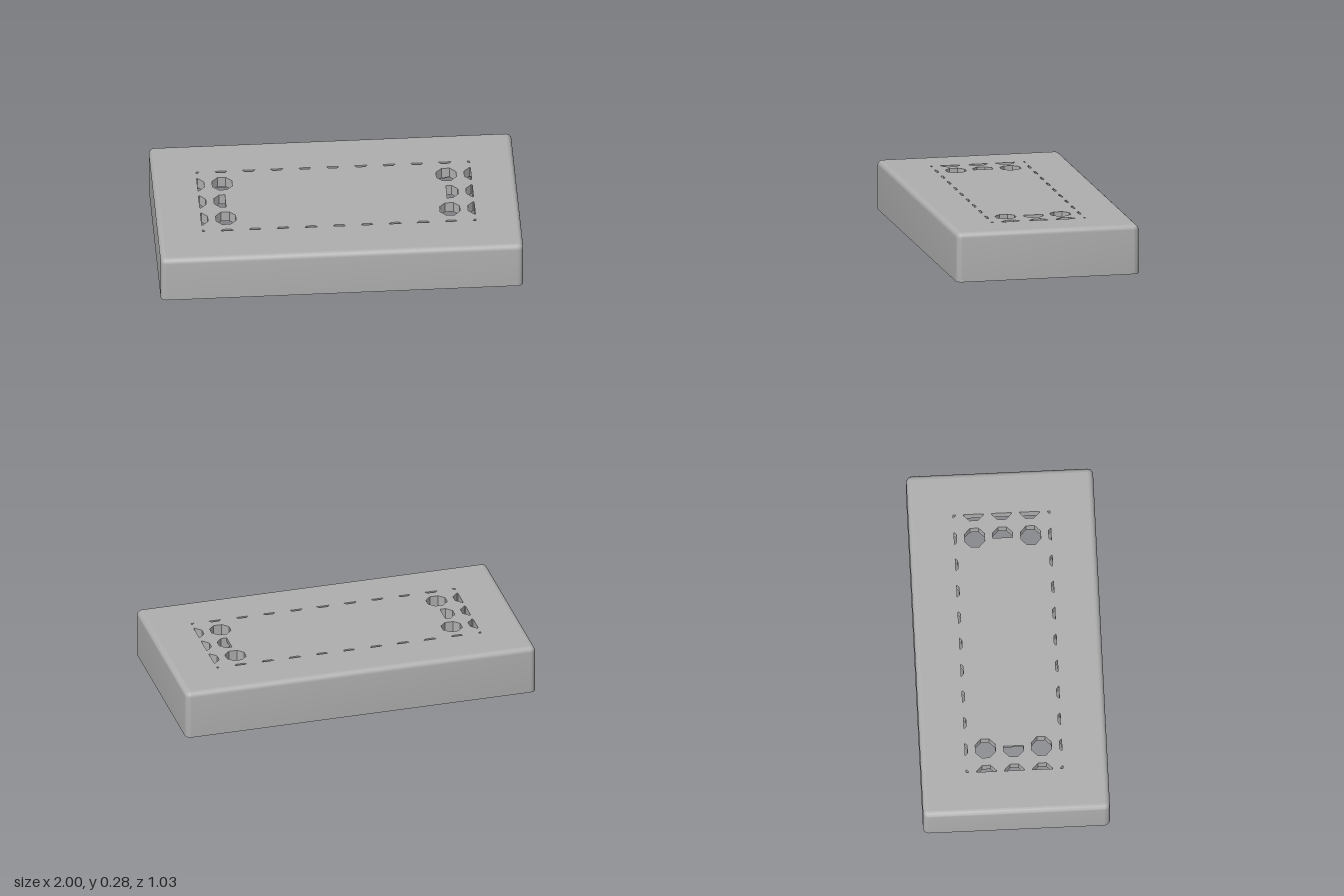
import * as THREE from 'three';
import { toCreasedNormals } from 'three/addons/utils/BufferGeometryUtils.js';

const W = 1, D = 0.515, H = 0.275;       // half width, half depth, height
const WALL = 0.042, ROUND = 0.028, CORNER = 0.032;
const CEILING = 0.212, PIT = 0.252;      // cavity ceiling, top of the blind pits
const PITCH = 0.1545, APOTHEM = 0.055;   // vent grid
const VENT_X = 0.755, VENT_Z = 0.267, COVER_X = 0.61;

// Rounded rectangle, moved inwards by an inset
function outline(inset) {
  const r = Math.max(CORNER - inset, inset > ROUND ? 0.02 : 0.002), pts = [], n = 6;
  [[1, 1], [-1, 1], [-1, -1], [1, -1]].forEach(([sx, sz], q) => {
    for (let k = 0; k <= n; k++) {
      const a = (q + k / n) * Math.PI / 2;
      pts.push(new THREE.Vector2(
        sx * (W - inset - r) + r * Math.cos(a),
        sz * (D - inset - r) + r * Math.sin(a)));
    }
  });
  return pts;
}

// Sweep a wall profile of [inset, y] around the outline
function loft(profile) {
  const rings = profile.map(([inset]) => outline(inset));
  const n = rings[0].length, pos = [], index = [];
  rings.forEach((ring, j) => ring.forEach(p => pos.push(p.x, profile[j][1], p.y)));
  for (let j = 0; j < rings.length - 1; j++) {
    for (let i = 0; i < n; i++) {
      const a = j * n + i, b = j * n + (i + 1) % n;
      index.push(a, a + n, b, b, a + n, b + n);
    }
  }
  const g = new THREE.BufferGeometry();
  g.setAttribute('position', new THREE.Float32BufferAttribute(pos, 3));
  g.setIndex(index);
  return toCreasedNormals(g, 0.6);
}

// Keep the side of a polygon where sign * p[axis] <= limit
function clip(poly, axis, sign, limit) {
  const out = [];
  poly.forEach((p, i) => {
    const q = poly[(i + 1) % poly.length];
    const dp = sign * p[axis] - limit, dq = sign * q[axis] - limit;
    if (dp <= 0) out.push(p);
    if (dp * dq < 0) out.push(p.clone().lerp(q, dp / (dp - dq)));
  });
  return out;
}

// Octagonal vent cut to the vent field
function vent(col, row) {
  let poly = [];
  for (let k = 0; k < 8; k++) {
    const a = (k + 0.5) * Math.PI / 4, r = APOTHEM / Math.cos(Math.PI / 8);
    poly.push(new THREE.Vector2(col * PITCH + r * Math.cos(a), row * PITCH + r * Math.sin(a)));
  }
  for (const s of [1, -1]) {
    poly = clip(poly, 'x', s, VENT_X);
    poly = clip(poly, 'y', s, VENT_Z);
  }
  return poly;
}

// Flat layer with holes between two heights
function layer(inset, holes, y0, y1) {
  const shape = new THREE.Shape(outline(inset));
  holes.forEach(h => shape.holes.push(new THREE.Path(h)));
  const g = new THREE.ExtrudeGeometry(shape, { depth: y1 - y0, bevelEnabled: false });
  return g.rotateX(-Math.PI / 2).translate(0, y0, 0);
}

export function createModel() {
  const group = new THREE.Group();
  const grey = new THREE.MeshStandardMaterial({ color: 0xb0b0b0 });
  grey.name = 'grey plastic';
  const add = (name, geometry) => {
    const mesh = new THREE.Mesh(geometry, grey);
    mesh.name = name;
    group.add(mesh);
    return mesh;
  };

  // Walls: inside face, bottom rim, outside face, rounded top edge
  const profile = [[WALL, CEILING], [WALL, 0], [0, 0]];
  for (let k = 0; k <= 6; k++) {
    const a = k / 6 * Math.PI / 2;
    profile.push([ROUND * (1 - Math.cos(a)), H - ROUND + ROUND * Math.sin(a)]);
  }
  add('walls', loft(profile));

  // Vents: all open below, the middle ones closed above
  const open = [], below = [];
  for (let col = -5; col <= 5; col++) {
    for (let row = -2; row <= 2; row++) {
      const poly = vent(col, row);
      below.push(poly);
      const side = Math.sign(col);
      if (Math.abs(col) === 4 && row === 0) open.push(clip(poly, 'x', -side, -COVER_X));
      else if (Math.abs(col) >= 4 || Math.abs(row) === 2) open.push(poly);
    }
  }
  add('topPanel', layer(ROUND, open, PIT, H));
  add('ventGrid', layer(WALL, below, CEILING, PIT));

  // Snap bumps inside the long walls
  for (const x of [-0.5, 0.5]) {
    for (const s of [-1, 1]) {
      const bump = add('snapBump', new THREE.SphereGeometry(0.03, 20, 14));
      bump.position.set(x, 0.103, s * (D - WALL));
    }
  }
  return group;
}
